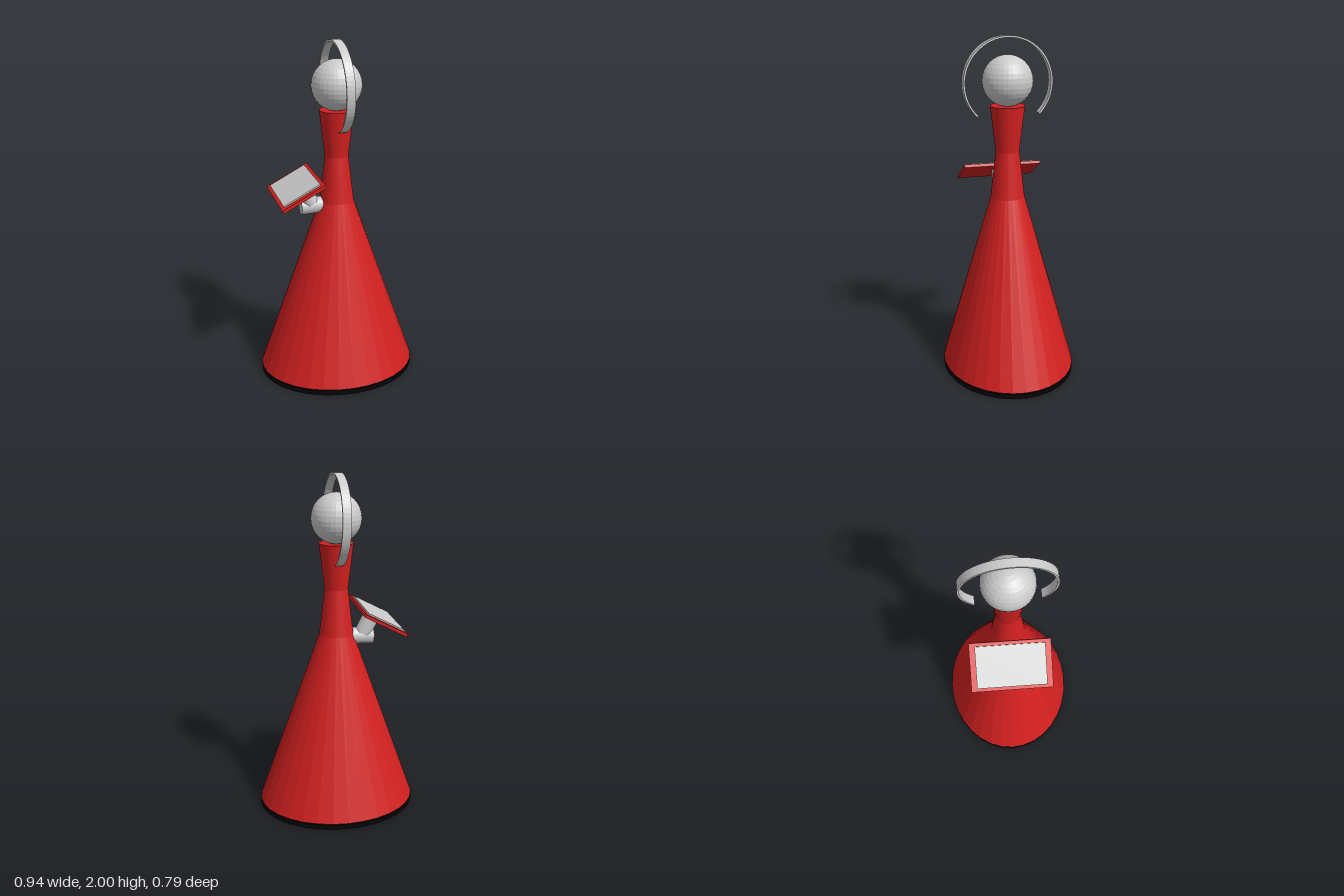
import * as THREE from 'three';

const mat = (color) => new THREE.MeshStandardMaterial({ color, flatShading: true });
const grey = mat(0xcccccc), red = mat(0xd42020), black = mat(0x050505);

export function createModel() {
  const model = new THREE.Group();

  function add(name, geometry, material, x = 0, y = 0, z = 0, parent = model) {
    const mesh = new THREE.Mesh(geometry, material);
    mesh.name = name;
    mesh.position.set(x, y, z);
    parent.add(mesh);
    return mesh;
  }
  // Round section standing between two heights
  const section = (name, y0, y1, r0, r1, material) =>
    add(name, new THREE.CylinderGeometry(r1, r0, y1 - y0, 32), material, 0, (y0 + y1) / 2);
  // Cylinder between two points in the x-y plane
  function rod(name, x0, y0, x1, y1, r) {
    const length = Math.hypot(x1 - x0, y1 - y0);
    const mesh = add(name, new THREE.CylinderGeometry(r, r, length, 24), grey, (x0 + x1) / 2, (y0 + y1) / 2);
    mesh.rotation.z = Math.atan2(y1 - y0, x1 - x0) - Math.PI / 2;
  }

  // Oval base plate
  section('base', 0, 0.028, 0.47, 0.47, black).scale.z = 0.84;

  // Skirt: oval hem blending to a round waist
  const skirt = section('skirt', 0.035, 1.075, 0.47, 0.1, red);
  const p = skirt.geometry.attributes.position;
  for (let i = 0; i < p.count; i++) if (p.getY(i) < 0) p.setZ(i, p.getZ(i) * 0.84);
  skirt.geometry.computeVertexNormals();

  // Torso, flared neck and head
  section('torso', 1.075, 1.345, 0.1, 0.068, red);
  section('neck', 1.345, 1.61, 0.068, 0.1, red);
  add('head', new THREE.SphereGeometry(0.145, 32, 16), grey, 0, 1.75);

  // Halo: thick band over the head, thin outer skin below it
  const halo = new THREE.Group();
  halo.name = 'halo';
  halo.position.y = 1.74;
  halo.rotation.set(0, 0.04, 0.025);
  model.add(halo);
  const R = 0.26, W = 0.05, a0 = -Math.PI / 4, a1 = Math.PI * 5 / 4;
  const arc = new THREE.Shape();
  arc.absarc(0, 0, R, a0, a1, false);
  arc.absarc(0, 0, R - 0.011, a1, a0, true);
  const band = new THREE.ExtrudeGeometry(arc, { depth: W, bevelEnabled: false, curveSegments: 24 });
  band.translate(0, 0, -W / 2).rotateY(Math.PI / 2);
  add('haloBand', band, grey, 0, 0, 0, halo);
  const skin = new THREE.CylinderGeometry(R, R, W, 8, 1, true, a1, Math.PI / 2);
  skin.rotateZ(Math.PI / 2);
  add('haloSkin', skin, grey, 0, 0, 0, halo);

  // Bent arm holding the book
  rod('lowerArm', -0.05, 1.058, -0.218, 1.05, 0.048);
  rod('upperArm', -0.158, 1.07, -0.216, 1.184, 0.049);

  // Tilted book with a raised page
  const book = new THREE.Group();
  book.name = 'book';
  book.position.set(-0.245, 1.172, 0);
  book.rotation.z = 0.488;
  model.add(book);
  add('bookCover', new THREE.BoxGeometry(0.277, 0.018, 0.46), red, 0, 0, 0, book);
  add('bookPage', new THREE.BoxGeometry(0.237, 0.01, 0.395), grey, 0, 0.012, 0, book);

  return model;
}
